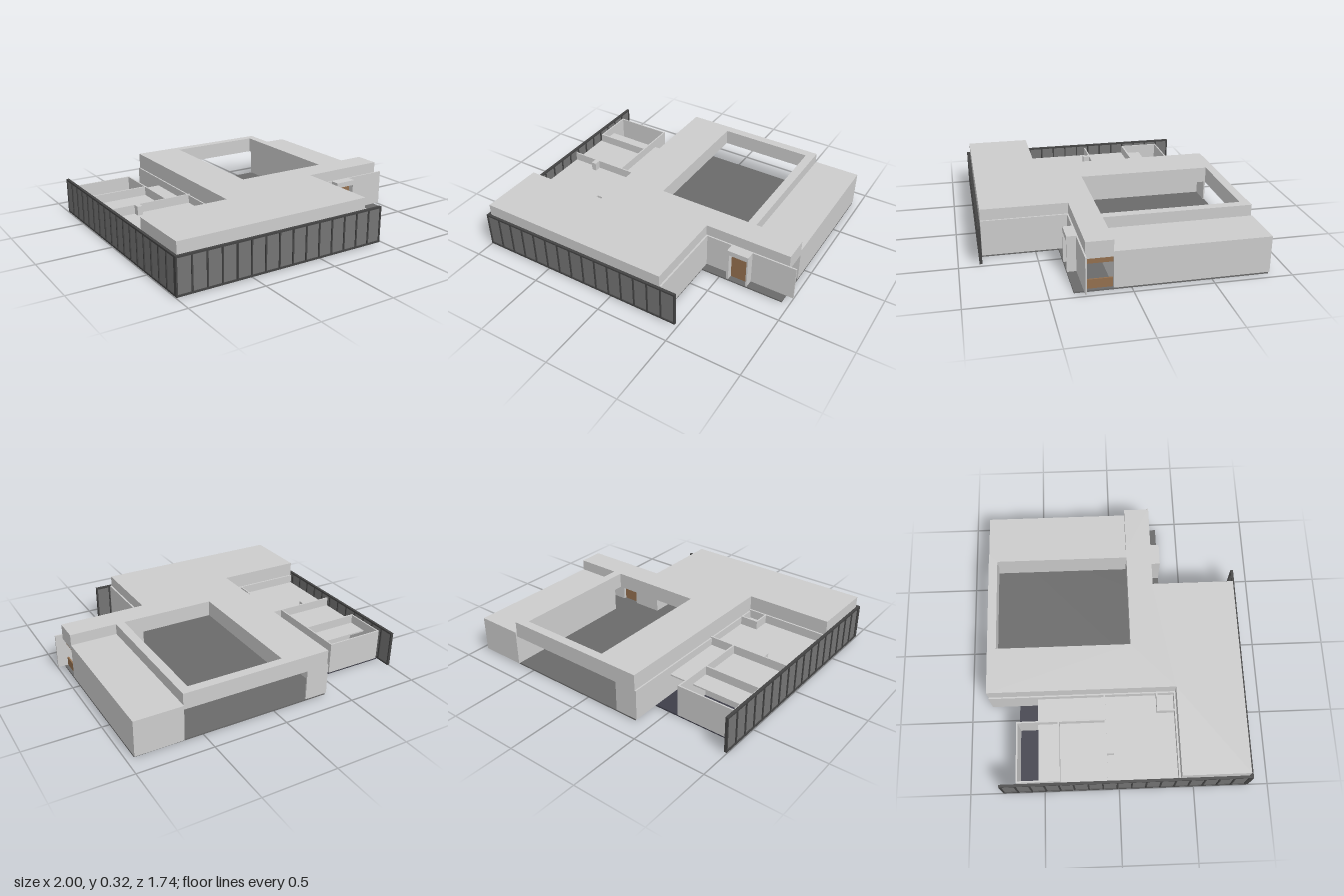
import * as THREE from 'three';

const mat = (name, color, side = THREE.FrontSide) => {
  const m = new THREE.MeshStandardMaterial({ color, side });
  m.name = name;
  return m;
};

export function createModel() {
  const root = new THREE.Group();
  root.name = 'house';
  const plaster = mat('plaster', 0xcccccc);
  const slab = mat('darkFloor', 0x6a6a6a);
  const navy = mat('navyFloor', 0x3e3e49);
  const frame = mat('windowFrame', 0x444444);
  const glass = mat('glass', 0x747474, THREE.DoubleSide);
  const wood = mat('wood', 0x94704f);

  // Box given by its limits on each axis
  const box = (name, m, x0, x1, y0, y1, z0, z1, parent = root) => {
    const mesh = new THREE.Mesh(new THREE.BoxGeometry(x1 - x0, y1 - y0, z1 - z0), m);
    mesh.position.set((x0 + x1) / 2, (y0 + y1) / 2, (z0 + z1) / 2);
    mesh.name = name;
    parent.add(mesh);
  };
  // Horizontal plate from an outline of [x, z] points
  const plate = (name, m, outline, top, depth, holes = []) => {
    const shape = new THREE.Shape(outline.map(p => new THREE.Vector2(...p)));
    holes.forEach(h => shape.holes.push(new THREE.Path(h.map(p => new THREE.Vector2(...p)))));
    const geo = new THREE.ExtrudeGeometry(shape, { depth, bevelEnabled: false });
    geo.rotateX(Math.PI / 2);
    const mesh = new THREE.Mesh(geo, m);
    mesh.position.y = top;
    mesh.name = name;
    root.add(mesh);
  };

  // Ground floors
  plate('mainFloor', slab, [[-0.39, -0.86], [0.95, -0.86], [0.95, 0.35], [0.37, 0.35],
    [0.37, 0.85], [-0.98, 0.85], [-0.98, 0.4], [-0.39, 0.4]], 0.01, 0.01);
  box('roomFloor', navy, -0.98, -0.39, 0, 0.01, -0.67, 0.4);

  // Thick roof with the courtyard opening
  plate('roof', plaster, [[-0.39, -0.86], [0.63, -0.86], [0.63, 0.11], [0.95, 0.11],
    [0.95, 0.28], [0.36, 0.28], [0.36, 0.845], [-0.98, 0.845], [-0.98, 0.4], [-0.39, 0.4]],
  0.325, 0.108, [[[-0.08, -0.8], [0.57, -0.8], [0.57, 0.11], [-0.08, 0.11]]]);

  // Lower side wing
  box('sideWing', plaster, 0.63, 0.95, 0.01, 0.25, -0.87, 0.11);

  // Main walls: x0, x1, z0, z1
  [[0.36, 0.372, 0.28, 0.845], [0.36, 0.55, 0.28, 0.29], [0.7, 1, 0.28, 0.29],
    [-0.4, -0.39, -0.86, 0.4], [-0.39, -0.24, -0.86, -0.85]]
    .forEach(([x0, x1, z0, z1], i) =>
      box('outerWall' + i, plaster, x0, x1, 0.01, z0 < 0.2 ? 0.217 : 0.25, z0, z1));

  // Open-topped rooms: partitions rise above a lower ceiling
  [[-0.97, -0.57, -0.672, -0.662], [-0.97, -0.96, -0.672, -0.39], [-0.576, -0.566, -0.672, -0.08],
    [-0.97, -0.576, -0.397, -0.385], [-0.98, -0.39, -0.085, -0.075], [-0.8, -0.765, -0.075, -0.03],
    [-0.525, -0.515, 0.275, 0.4], [-0.525, -0.4, 0.27, 0.28], [-0.98, -0.39, 0.388, 0.4]]
    .forEach(([x0, x1, z0, z1], i) => box('partition' + i, plaster, x0, x1, 0.01, 0.225, z0, z1));
  box('roomCeiling', plaster, -0.98, -0.395, 0.155, 0.165, -0.53, 0.395);

  // Entrance portal and door
  box('portalLeft', plaster, 0.69, 0.7, 0.01, 0.25, 0.28, 0.35);
  box('portalRight', plaster, 0.55, 0.565, 0.01, 0.25, 0.28, 0.35);
  box('portalTop', plaster, 0.565, 0.69, 0.215, 0.25, 0.28, 0.35);
  box('door', wood, 0.565, 0.69, 0.01, 0.215, 0.3, 0.31);

  // Timber sill and lintel at the side opening
  box('timberSill', wood, 0.92, 0.93, 0.01, 0.07, 0.11, 0.28);
  box('timberLintel', wood, 0.92, 0.93, 0.175, 0.217, 0.11, 0.28);

  // Glazed screen built along x from 0 to length
  const glazing = (name, length, panes) => {
    const g = new THREE.Group();
    g.name = name;
    box('bottomRail', frame, 0, length, 0.005, 0.017, 0, 0.018, g);
    box('topRail', frame, 0, length, 0.238, 0.25, 0, 0.018, g);
    for (let i = 0; i <= panes; i++) {
      const x = i / panes * (length - 0.01);
      box('mullion' + i, frame, x, x + 0.01, 0.017, 0.238, 0, 0.018, g);
    }
    box('panes', glass, 0.01, length - 0.01, 0.017, 0.238, 0.007, 0.011, g);
    root.add(g);
    return g;
  };
  glazing('frontGlazing', 1.48, 15).position.set(-1, 0, 0.85);
  const side = glazing('sideGlazing', 1.63, 17);
  side.rotation.y = -Math.PI / 2;
  side.position.set(-0.982, 0, -0.78);

  return root;
}
